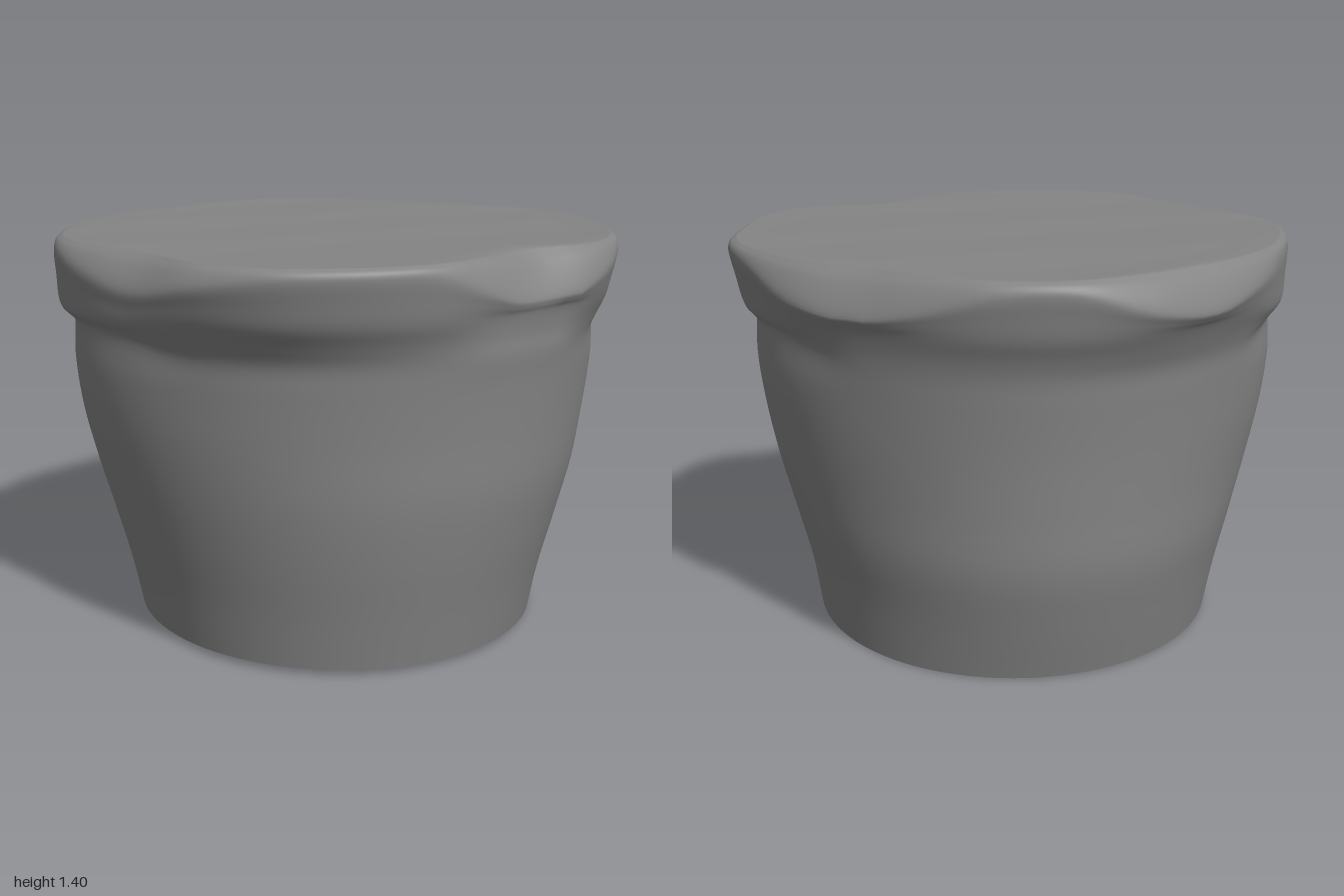
import * as THREE from 'three';

const SEGMENTS = 96;

// Values every 15 degrees, from the front (+z) round through +x
const rimRadius = [0.952, 0.93, 0.933, 0.998, 1.002, 0.987, 1, 0.977, 0.957, 0.93, 0.93, 0.945,
  0.96, 0.97, 0.966, 0.967, 0.965, 0.982, 1, 0.978, 0.968, 0.998, 1.002, 0.977];
// How far each worn chip cuts in from the rim, and how far down it reaches
const chipInset = [0, 0.05, 0.1, 0.03, 0, 0, 0, 0.01, 0.05, 0.08, 0.05, 0.01,
  0.01, 0.05, 0.06, 0.03, 0, 0, 0.01, 0.05, 0.07, 0.03, 0, 0];
const chipDrop = [0.01, 0.09, 0.15, 0.06, 0, 0, 0, 0.02, 0.09, 0.12, 0.08, 0.02,
  0.01, 0.08, 0.11, 0.06, 0.02, 0, 0.01, 0.05, 0.08, 0.04, 0.01, 0];
// Dents and bulges of the body, every 45 degrees
const bodyOffset = [0, 0.02, 0, -0.027, 0, -0.022, 0, -0.018];

// Smooth periodic lookup in a table
function sample(table, turn) {
  const n = table.length, f = turn * n, i = Math.floor(f), t = f - i;
  const [a, b, c, d] = [-1, 0, 1, 2].map((k) => table[(i + k + n) % n]);
  return b + 0.5 * t * (c - a + t * (2 * a - 5 * b + 4 * c - d + t * (3 * (b - c) + d - a)));
}

// Body half-widths at each height: [y, -x side, +x side, front, back]
const body = [[0, 0.735, 0.73, 0.772, 0.754], [0.2, 0.773, 0.76, 0.802, 0.803],
  [0.4, 0.825, 0.81, 0.836, 0.844], [0.6, 0.88, 0.86, 0.86, 0.851],
  [0.8, 0.925, 0.898, 0.866, 0.858], [0.98, 0.944, 0.919, 0.877, 0.872]];

// Profile of the wall and rim at one angle, as (radius, height) points
function profile(turn) {
  const a = turn * Math.PI * 2, s = Math.sin(a), c = Math.cos(a);
  const radius = ([y, l, r, f, b]) => 1 / Math.hypot(s / (s < 0 ? l : r), c / (c < 0 ? b : f))
    + sample(bodyOffset, turn) * Math.min(1, y / 0.6);
  const R = sample(rimRadius, turn);
  const inset = Math.max(0, sample(chipInset, turn));
  const drop = Math.max(0, sample(chipDrop, turn));
  // The lip overhangs sharply at the sides and blends in at front and back
  const sharp = THREE.MathUtils.smoothstep(Math.abs(s), 0.7, 0.95);
  const mix = (p, q) => p + (q - p) * sharp;
  const neck = radius(body[5]);
  // The base dips slightly towards the back
  const pts = body.map((b, i) => new THREE.Vector2(
    radius(b), b[0] + (i === 0 ? 0.01 - 0.01 * Math.cos(a - 2.6) : 0)));
  const lipR = Math.max(neck + 0.02,
    R - mix(Math.max(0.02, 0.3 * (R - neck)), s > 0 ? 0.045 : 0.012));
  const lipY = mix(1.21, 1.165);
  const shoulderY = Math.max(lipY + 0.04, 1.365 - drop);
  pts.push(
    new THREE.Vector2(mix(neck + 0.01, neck - 0.002), mix(1.075, 1.115)),
    new THREE.Vector2(mix(neck + (lipR - neck) * 0.5, lipR - 0.025), mix(1.14, 1.135)),
    new THREE.Vector2(lipR, lipY),
    new THREE.Vector2((lipR + R) / 2 + 0.003, (lipY + shoulderY) / 2),
    new THREE.Vector2(R, shoulderY),
    new THREE.Vector2(R - 0.008 - inset * 0.6, 1.385 - drop * 0.3),
    new THREE.Vector2(R - 0.03 - inset, 1.397));
  return pts;
}

// Slightly uneven top
const topHeight = (x, z) =>
  1.394 + 0.004 * Math.sin(3 * x + 6 * z) * Math.cos(5 * z - 2 * x);

function potGeometry() {
  const rows = 64, capRows = 12, positions = [], index = [];
  const columns = [];
  for (let j = 0; j < SEGMENTS; j++) {
    const a = (j / SEGMENTS) * Math.PI * 2;
    const pts = profile(j / SEGMENTS);
    const curve = new THREE.CatmullRomCurve3(
      pts.map((p) => new THREE.Vector3(p.x, p.y, 0)), false, 'centripetal');
    const column = [];
    for (let i = 0; i <= rows; i++) {
      const p = curve.getPoint(i / rows);
      column.push([p.x * Math.sin(a), p.y, p.x * Math.cos(a)]);
    }
    // Continue across the top to the centre
    const edge = pts[pts.length - 1];
    for (let i = 1; i <= capRows; i++) {
      const r = edge.x * (1 - i / capRows);
      const x = r * Math.sin(a), z = r * Math.cos(a);
      column.push([x, topHeight(x, z), z]);
    }
    columns.push(column);
  }
  const height = rows + capRows + 1;
  columns.forEach((column) => column.forEach((p) => positions.push(...p)));
  for (let j = 0; j < SEGMENTS; j++) {
    const k = (j + 1) % SEGMENTS;
    for (let i = 0; i < height - 1; i++) {
      const a = j * height + i, b = k * height + i;
      index.push(a, b, b + 1);
      if (i < height - 2) index.push(a, b + 1, a + 1);
    }
  }
  const geometry = new THREE.BufferGeometry();
  geometry.setAttribute('position', new THREE.Float32BufferAttribute(positions, 3));
  geometry.setIndex(index);
  geometry.computeVertexNormals();
  // The centre points share one upward normal
  for (let j = 0; j < SEGMENTS; j++) {
    geometry.attributes.normal.setXYZ(j * height + height - 1, 0, 1, 0);
  }
  return geometry;
}

export function createModel() {
  const group = new THREE.Group();
  group.name = 'wornPot';
  // Open underneath, so both sides of the wall show
  const material = new THREE.MeshStandardMaterial({ color: 0x848484, side: THREE.DoubleSide });
  const shell = new THREE.Mesh(potGeometry(), material);
  shell.name = 'bodyWithRim';
  group.add(shell);
  return group;
}
